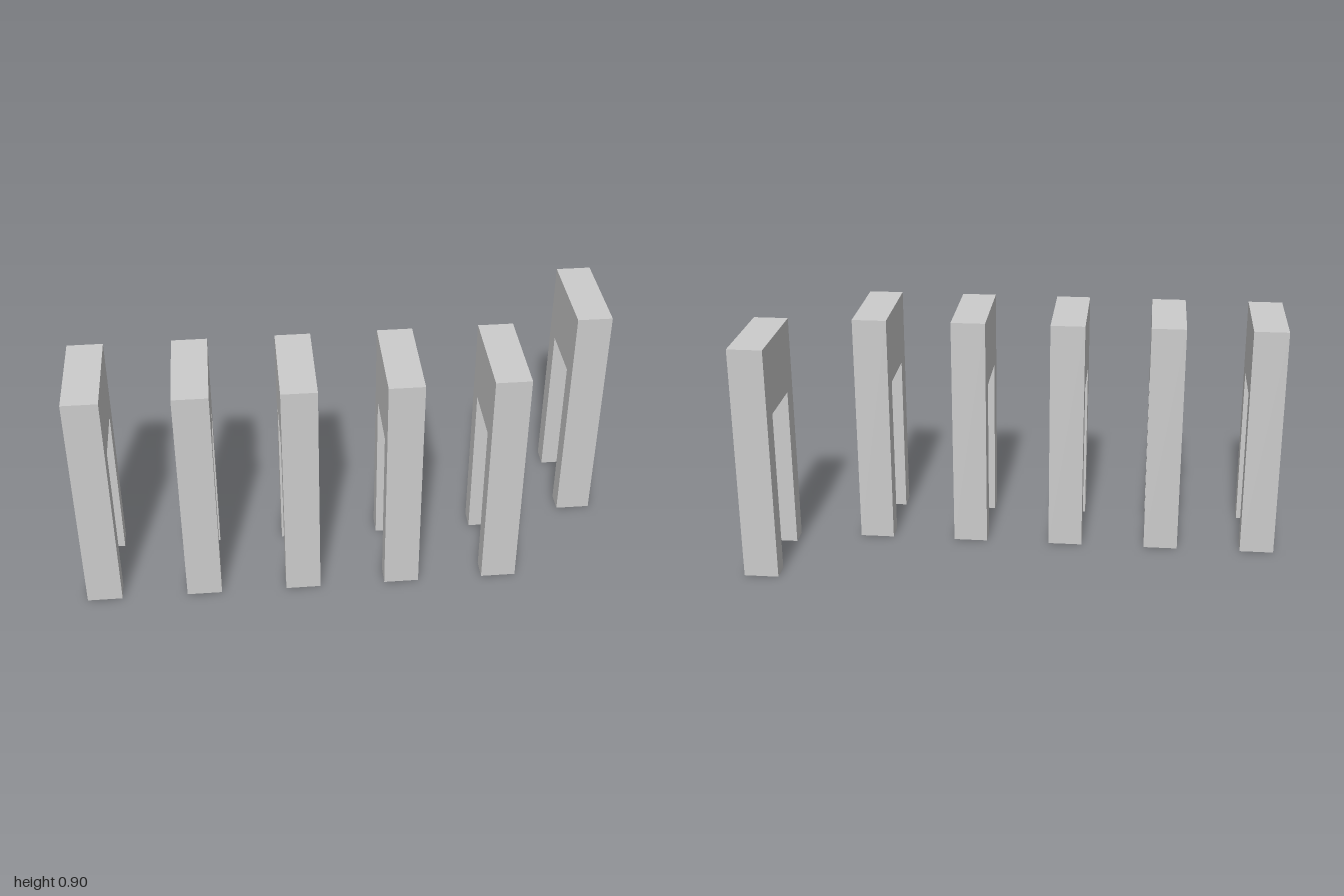
import * as THREE from 'three';

const WIDTH = 0.13, HEIGHT = 0.9, DEPTH = 0.375, LEG = 0.075, OPENING = 0.63;
const COUNT = 6;

// U-shaped gate profile (side view), extruded across its width
function gateGeometry() {
  const d = DEPTH / 2, i = d - LEG;
  const profile = new THREE.Shape([
    [-d, 0], [-i, 0], [-i, OPENING], [i, OPENING],
    [i, 0], [d, 0], [d, HEIGHT], [-d, HEIGHT],
  ].map(([z, y]) => new THREE.Vector2(z, y)));
  const geometry = new THREE.ExtrudeGeometry(profile, { depth: WIDTH, bevelEnabled: false });
  geometry.translate(0, 0, -WIDTH / 2);
  geometry.rotateY(-Math.PI / 2);
  return geometry;
}

export function createModel() {
  const model = new THREE.Group();
  model.name = 'gateRow';
  const material = new THREE.MeshStandardMaterial({ color: 0xcccccc, flatShading: true });
  const geometry = gateGeometry();
  const spacing = (2 - WIDTH) / (COUNT - 1);

  // Evenly spaced gates; the last one on the left is shifted to the back
  for (let n = 0; n < COUNT; n++) {
    const offset = n === COUNT - 1;
    const gate = new THREE.Mesh(geometry, material);
    gate.name = offset ? 'offsetGate' : `gate${n + 1}`;
    gate.position.set(-1 + WIDTH / 2 + n * spacing, 0, (offset ? -1 : 1) * DEPTH / 2);
    model.add(gate);
  }
  return model;
}
